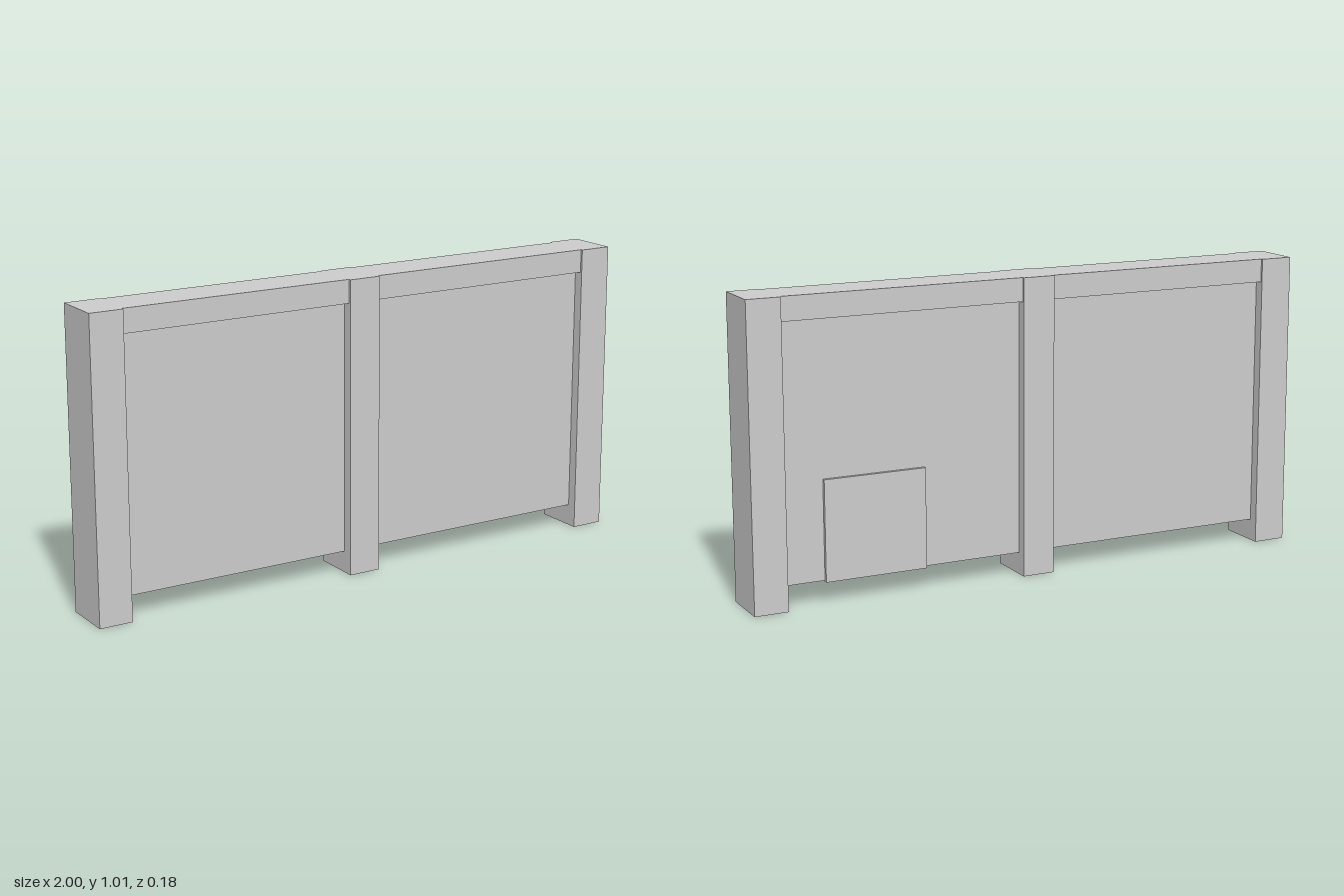
import * as THREE from 'three';

export function createModel() {
  const group = new THREE.Group();
  const material = new THREE.MeshStandardMaterial({ color: 0xcccccc, flatShading: true });

  // Box given by its extents along each axis
  const box = (name, [x0, x1], [y0, y1], [z0, z1]) => {
    const mesh = new THREE.Mesh(new THREE.BoxGeometry(x1 - x0, y1 - y0, z1 - z0), material);
    mesh.position.set((x0 + x1) / 2, (y0 + y1) / 2, (z0 + z1) / 2);
    mesh.name = name;
    group.add(mesh);
  };

  const top = 1.015, railBottom = 0.935, panelBottom = 0.075;

  // Three full-height posts; the left one sits a hair further back
  const posts = [[-1, -0.885], [-0.07, 0.043], [0.885, 1]];
  const names = ['rightPost', 'middlePost', 'leftPost'];
  posts.forEach((x, i) => box(names[i], x, [0, top], i === 2 ? [-0.091, 0.088] : [-0.088, 0.091]));

  // Each bay between posts: a top rail and a recessed panel raised off the ground
  ['right', 'left'].forEach((side, i) => {
    const bay = [posts[i][1], posts[i + 1][0]];
    box(side + 'TopRail', bay, [railBottom, top], [-0.081, 0.081]);
    box(side + 'Panel', bay, [panelBottom, railBottom], [-0.053, 0.053]);
  });

  // Thin plate on the back of the left panel
  box('backPlate', [0.39, 0.745], [0.071, 0.412], [-0.065, -0.05]);

  return group;
}
